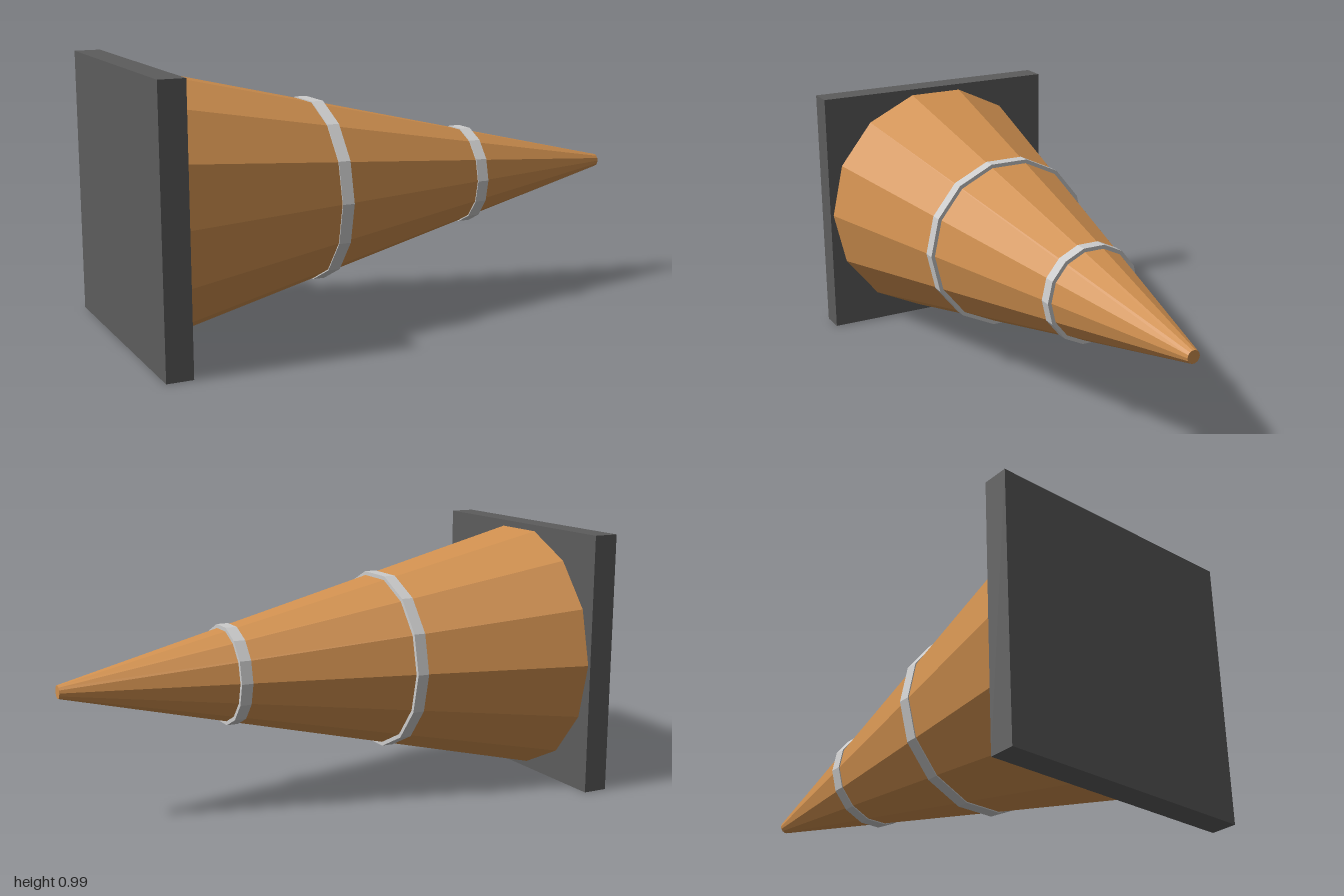
import * as THREE from 'three';

const SIDES = 14;
const AXIS_Y = 0.4925; // height of the cone's axis, lying along x

function material(color) {
  return new THREE.MeshStandardMaterial({ color, flatShading: true });
}

// Faceted section lying along x, from x0 (radius r0) to x1 (radius r1)
function section(name, x0, x1, r0, r1, mat) {
  const geometry = new THREE.CylinderGeometry(r1, r0, x1 - x0, SIDES);
  geometry.rotateZ(-Math.PI / 2);
  const mesh = new THREE.Mesh(geometry, mat);
  mesh.position.set((x0 + x1) / 2, AXIS_Y, 0);
  mesh.name = name;
  return mesh;
}

export function createModel() {
  const group = new THREE.Group();
  group.name = 'trafficCone';

  // Square base plate, standing on edge
  const base = new THREE.Mesh(new THREE.BoxGeometry(0.095, 0.985, 0.985), material(0x5c5c5c));
  base.position.set(-0.9525, AXIS_Y, 0);
  base.name = 'basePlate';
  group.add(base);

  // Tapered body with a small blunt tip
  group.add(section('coneBody', -0.905, 1, 0.48, 0.024, material(0xd0904f)));

  // Straight-sided bands around the body
  const bandMaterial = material(0xcccccc);
  group.add(section('wideBand', -0.295, -0.25, 0.338, 0.338, bandMaterial));
  group.add(section('narrowBand', 0.34, 0.384, 0.186, 0.186, bandMaterial));

  return group;
}
